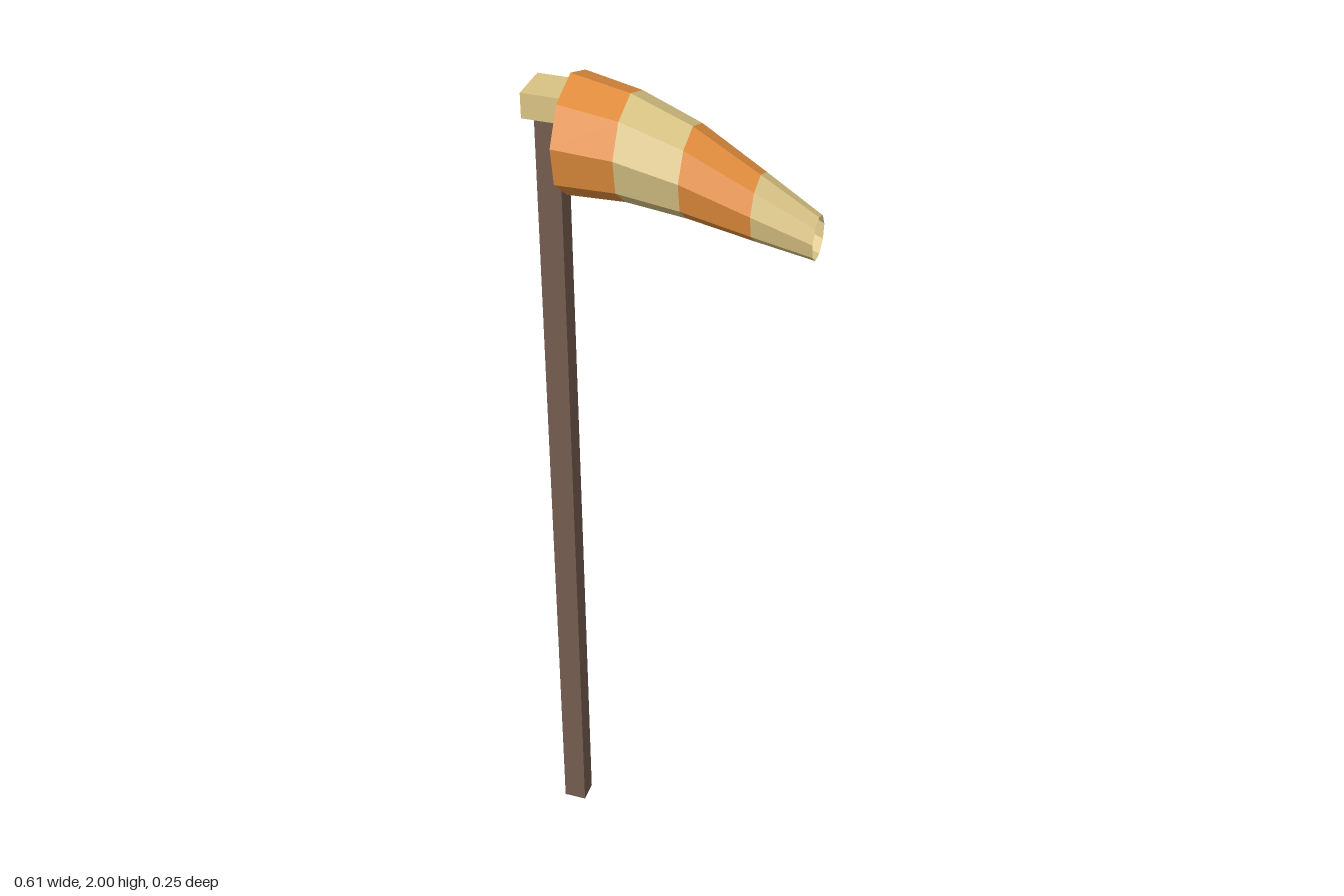
import * as THREE from 'three';

const SIDES = 9;

// Sock rings: [x, centre y, centre z, radius]
const RINGS = [
  [-0.214, 1.873, 0, 0.127],
  [-0.09, 1.862, 0, 0.113],
  [0.042, 1.835, 0.0125, 0.096],
  [0.183, 1.783, 0.02, 0.07],
  [0.303, 1.732, 0.0165, 0.046],
];

function ringPoint([x, y, z, r], j) {
  const a = (j / SIDES) * Math.PI * 2;
  return [x, y + r * Math.cos(a), z + r * Math.sin(a)];
}

// Faceted open band between two rings
function bandGeometry(a, b) {
  const positions = [];
  for (let j = 0; j < SIDES; j++) {
    const p = ringPoint(a, j), q = ringPoint(a, j + 1);
    const s = ringPoint(b, j), t = ringPoint(b, j + 1);
    positions.push(...p, ...q, ...s, ...q, ...t, ...s);
  }
  const geometry = new THREE.BufferGeometry();
  geometry.setAttribute('position', new THREE.Float32BufferAttribute(positions, 3));
  geometry.computeVertexNormals();
  return geometry;
}

export function createModel() {
  const orange = new THREE.MeshStandardMaterial({ color: 0xe08c3c, side: THREE.DoubleSide });
  orange.name = 'orange fabric';
  const cream = new THREE.MeshStandardMaterial({ color: 0xd8c284, side: THREE.DoubleSide });
  cream.name = 'cream fabric';
  const brown = new THREE.MeshStandardMaterial({ color: 0x755c50 });
  brown.name = 'brown wood';

  const model = new THREE.Group();
  model.name = 'windsock';

  const addBox = (name, material, size, position) => {
    const mesh = new THREE.Mesh(new THREE.BoxGeometry(...size), material);
    mesh.name = name;
    mesh.position.set(...position);
    model.add(mesh);
  };

  // Square pole and the block on top of it
  addBox('pole', brown, [0.053, 1.91, 0.05], [-0.259, 0.955, 0]);
  addBox('mountBlock', cream, [0.09, 0.055, 0.095], [-0.259, 1.9375, -0.001]);

  // Drooping striped sock, open at both ends
  const sock = new THREE.Group();
  sock.name = 'sock';
  for (let i = 0; i < RINGS.length - 1; i++) {
    const band = new THREE.Mesh(bandGeometry(RINGS[i], RINGS[i + 1]), i % 2 ? cream : orange);
    band.name = `sockBand${i + 1}`;
    sock.add(band);
  }
  model.add(sock);

  return model;
}
